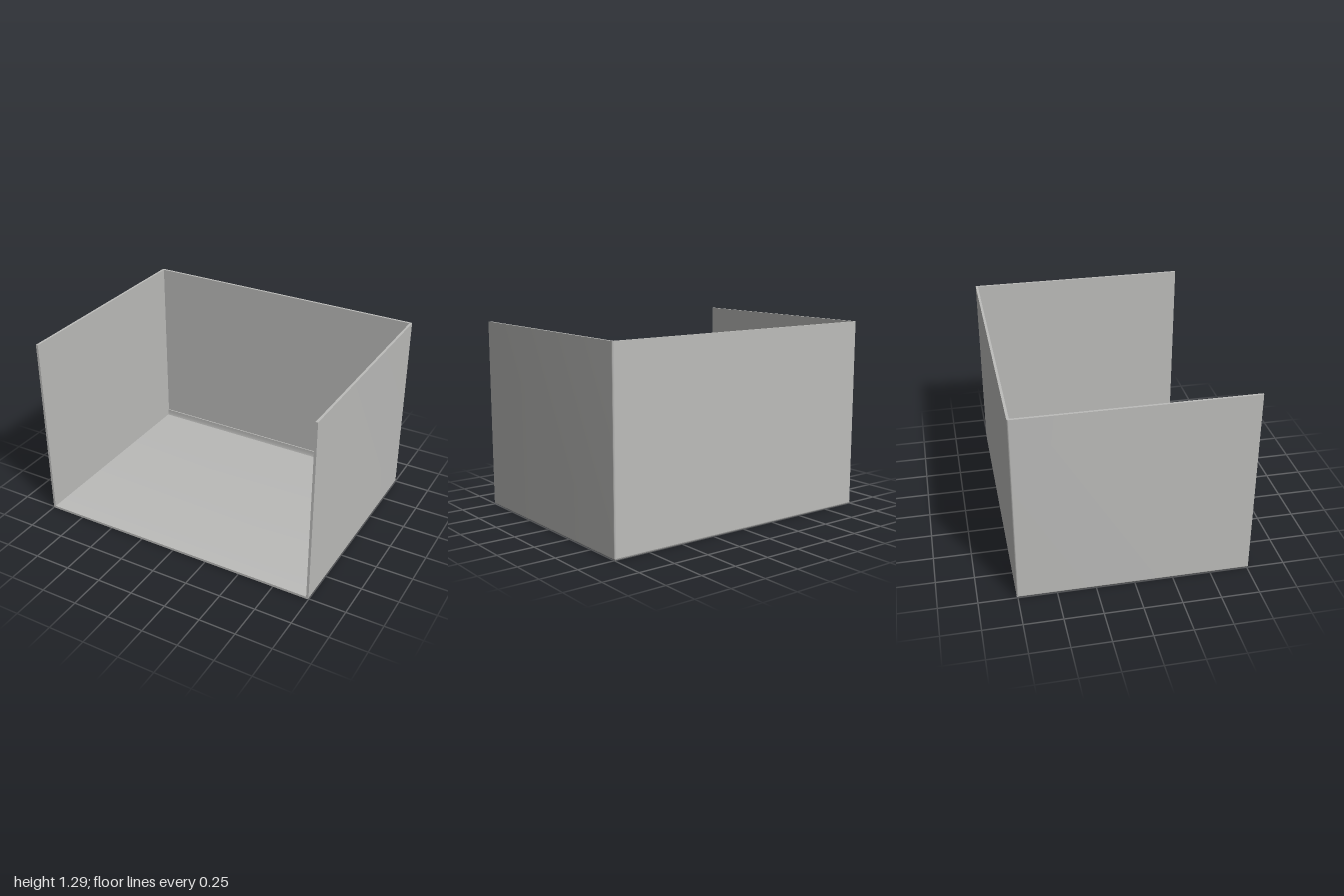
import * as THREE from 'three';
import { toCreasedNormals } from 'three/addons/utils/BufferGeometryUtils.js';

const W = 1, D = 0.757, H = 1.285; // half width, half depth, height
const T = 0.016, R = 0.011;        // panel thickness, outer edge radius

export function createModel() {
  const group = new THREE.Group();
  const grey = new THREE.MeshStandardMaterial({ color: 0xbcbcba });
  grey.name = 'grey';

  const add = (name, geometry) => {
    const mesh = new THREE.Mesh(toCreasedNormals(geometry, 0.5), grey);
    mesh.name = name;
    group.add(mesh);
  };
  const extrude = (shape, depth) =>
    new THREE.ExtrudeGeometry(shape, { depth, bevelEnabled: false, curveSegments: 5 });

  // Back and side walls: one U-shaped plan with rounded back corners
  const plan = new THREE.Shape();
  plan.moveTo(-W, -D);
  plan.lineTo(-W + T, -D);
  plan.lineTo(-W + T, D - T);
  plan.lineTo(W - T, D - T);
  plan.lineTo(W - T, -D);
  plan.lineTo(W, -D);
  plan.lineTo(W, D - R);
  plan.absarc(W - R, D - R, R, 0, Math.PI / 2, false);
  plan.lineTo(-W + R, D);
  plan.absarc(-W + R, D - R, R, Math.PI / 2, Math.PI, false);
  plan.closePath();
  const walls = extrude(plan, H - R);
  walls.rotateX(-Math.PI / 2).translate(0, R, 0);
  add('walls', walls);

  // Floor: rounded lower side edges, with a raised slab between the walls
  const section = new THREE.Shape();
  section.moveTo(-W + R, 0);
  section.lineTo(W - R, 0);
  section.absarc(W - R, R, R, -Math.PI / 2, 0, false);
  section.lineTo(W - T, R);
  section.lineTo(W - T, T);
  section.lineTo(-W + T, T);
  section.lineTo(-W + T, R);
  section.lineTo(-W, R);
  section.absarc(-W + R, R, R, Math.PI, Math.PI * 1.5, false);
  const floor = extrude(section, 2 * D);
  floor.translate(0, 0, -D);
  // Round the lower back edge and tuck the slab against the back wall
  const p = floor.attributes.position;
  for (let i = 0; i < p.count; i++) {
    if (p.getZ(i) > 0) continue;
    const y = p.getY(i);
    const inset = y > R + 0.001 ? T
      : R - Math.sqrt(Math.max(0, R * R - (R - y) ** 2));
    p.setZ(i, -D + inset);
  }
  floor.computeVertexNormals();
  add('floor', floor);

  // Skirting strip along the foot of the back wall, slightly hollow in front
  const strip = new THREE.Shape();
  strip.moveTo(D - T, T);
  strip.lineTo(D - T, 0.06);
  strip.lineTo(0.733, 0.06);
  strip.quadraticCurveTo(0.733, 0.03, 0.728, T);
  strip.closePath();
  const skirting = extrude(strip, 2 * (W - T));
  skirting.rotateY(Math.PI / 2).translate(-W + T, 0, 0);
  add('skirting', skirting);

  return group;
}
